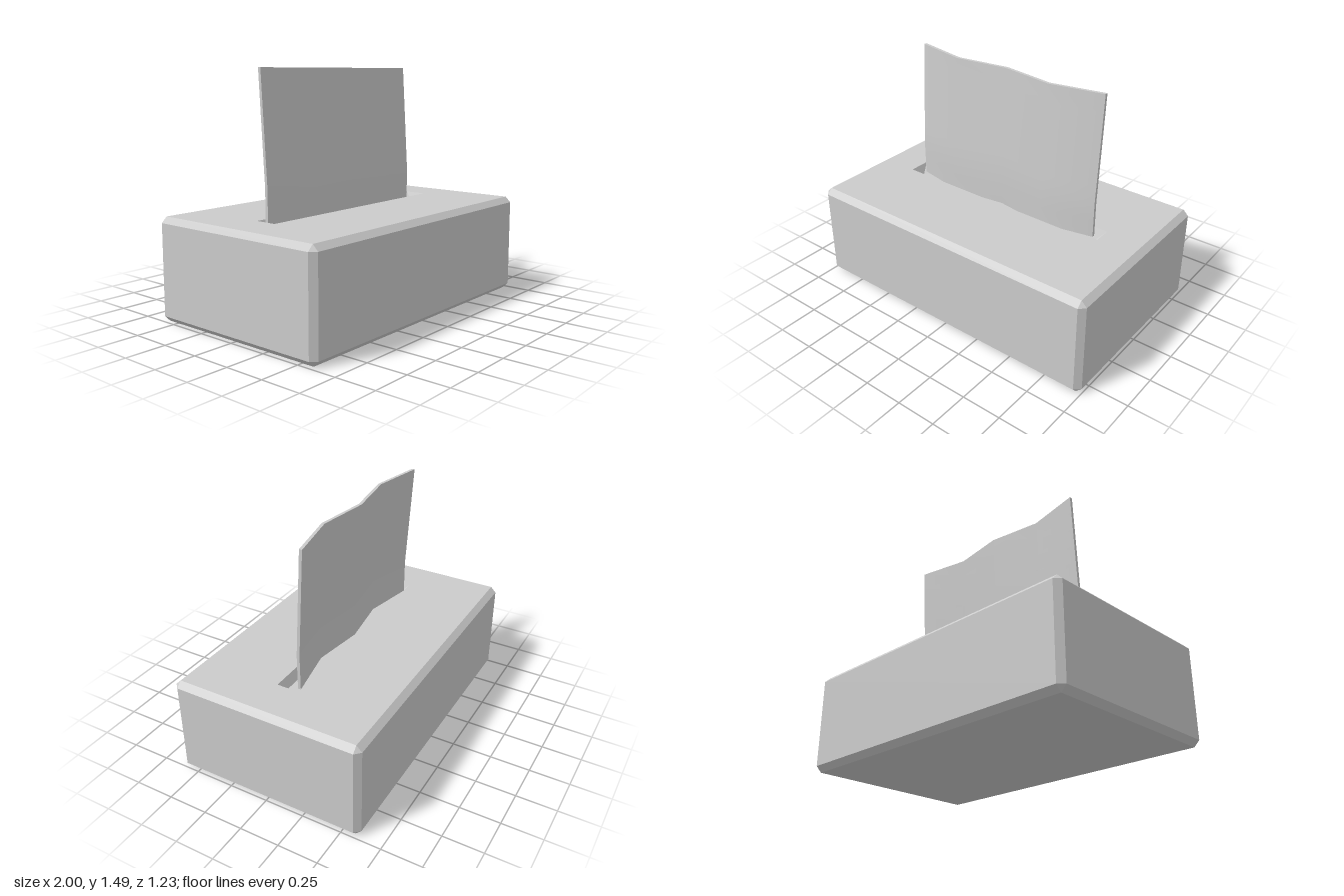
import * as THREE from 'three';
import { toCreasedNormals, mergeGeometries } from 'three/addons/utils/BufferGeometryUtils.js';

const W = 1, D = 0.613, H = 0.63, C = 0.035;   // half width, half depth, height, chamfer

// Eight corners of a rectangle whose corners are cut by c, at height y.
function ring(w, d, y, c) {
  return [
    [w, d - c], [w - c, d], [c - w, d], [-w, d - c],
    [-w, c - d], [c - w, -d], [w - c, -d], [w, c - d],
  ].map(([x, z]) => [x, y, z]);
}

// Joins successive rings with flat bands; flip turns the faces inward.
function skin(rings, flip = false) {
  const pos = [];
  for (let r = 0; r < rings.length - 1; r++) {
    const a = rings[r], b = rings[r + 1], n = a.length;
    for (let i = 0; i < n; i++) {
      const j = (i + 1) % n;
      const tris = [a[i], b[i], b[j], a[i], b[j], a[j]];
      if (flip) tris.reverse();
      pos.push(...tris.flat());
    }
  }
  const g = new THREE.BufferGeometry();
  g.setAttribute('position', new THREE.Float32BufferAttribute(pos, 3));
  g.computeVertexNormals();
  return g;
}

function rectangle(w, d, Kind = THREE.Shape) {
  return new Kind([[w, d], [-w, d], [-w, -d], [w, -d]].map(([x, y]) => new THREE.Vector2(x, y)));
}

// Horizontal flat panel at height y, facing up or down.
function panel(shape, y, up = true) {
  const g = new THREE.ShapeGeometry(shape).toNonIndexed();
  g.deleteAttribute('uv');
  return g.rotateX(up ? -Math.PI / 2 : Math.PI / 2).translate(0, y, 0);
}

export function createModel() {
  const group = new THREE.Group();
  const grey = new THREE.MeshStandardMaterial({ color: 0xcccccc, side: THREE.DoubleSide });
  const add = (name, geometry) => {
    const mesh = new THREE.Mesh(geometry, grey);
    mesh.name = name;
    group.add(mesh);
  };

  // Box body with chamfered edges and a slot cut in the top
  const top = rectangle(W - C, D - C);
  top.holes.push(rectangle(0.725, 0.07, THREE.Path));
  const sides = skin([
    ring(W - C, D - C, 0, 0),
    ring(W, D, C, C),
    ring(W, D, H - C, C),
    ring(W - C, D - C, H, 0),
  ]);
  add('boxBody', mergeGeometries([
    sides,
    panel(top, H),
    panel(rectangle(W - C, D - C), 0, false),
  ]));

  // Sloping slot walls and the floor below them
  const walls = skin([ring(0.7, 0.043, H - 0.06, 0.03), ring(0.725, 0.07, H, 0)], true);
  const floor = new THREE.Shape(ring(0.7, 0.043, 0, 0.03).map(([x, , z]) => new THREE.Vector2(x, z)));
  add('slot', mergeGeometries([walls, panel(floor, H - 0.06)]));

  // Tissue: a folded strip pulled upward, leaning back above its lower part
  const folds = [[-0.685, -0.022], [-0.35, 0.045], [-0.015, -0.003], [0.32, 0.045], [0.655, -0.022]];
  const thick = 0.019;
  const outline = [
    ...folds.map(([x, z]) => new THREE.Vector2(x, -z)),
    ...folds.map(([x, z]) => new THREE.Vector2(x, thick - z)).reverse(),
  ];
  const base = 0.59, peak = 1.49, bend = 0.815;
  const sheet = new THREE.ExtrudeGeometry(new THREE.Shape(outline), {
    depth: peak - base, steps: 8, bevelEnabled: false,
  });
  sheet.rotateX(-Math.PI / 2).translate(0, base, 0);
  const p = sheet.attributes.position;
  for (let i = 0; i < p.count; i++) {
    const lean = Math.max(0, p.getY(i) - bend) / (peak - bend);
    p.setZ(i, p.getZ(i) - 0.042 * lean);
  }
  add('tissueSheet', toCreasedNormals(sheet, 0.6));

  return group;
}
